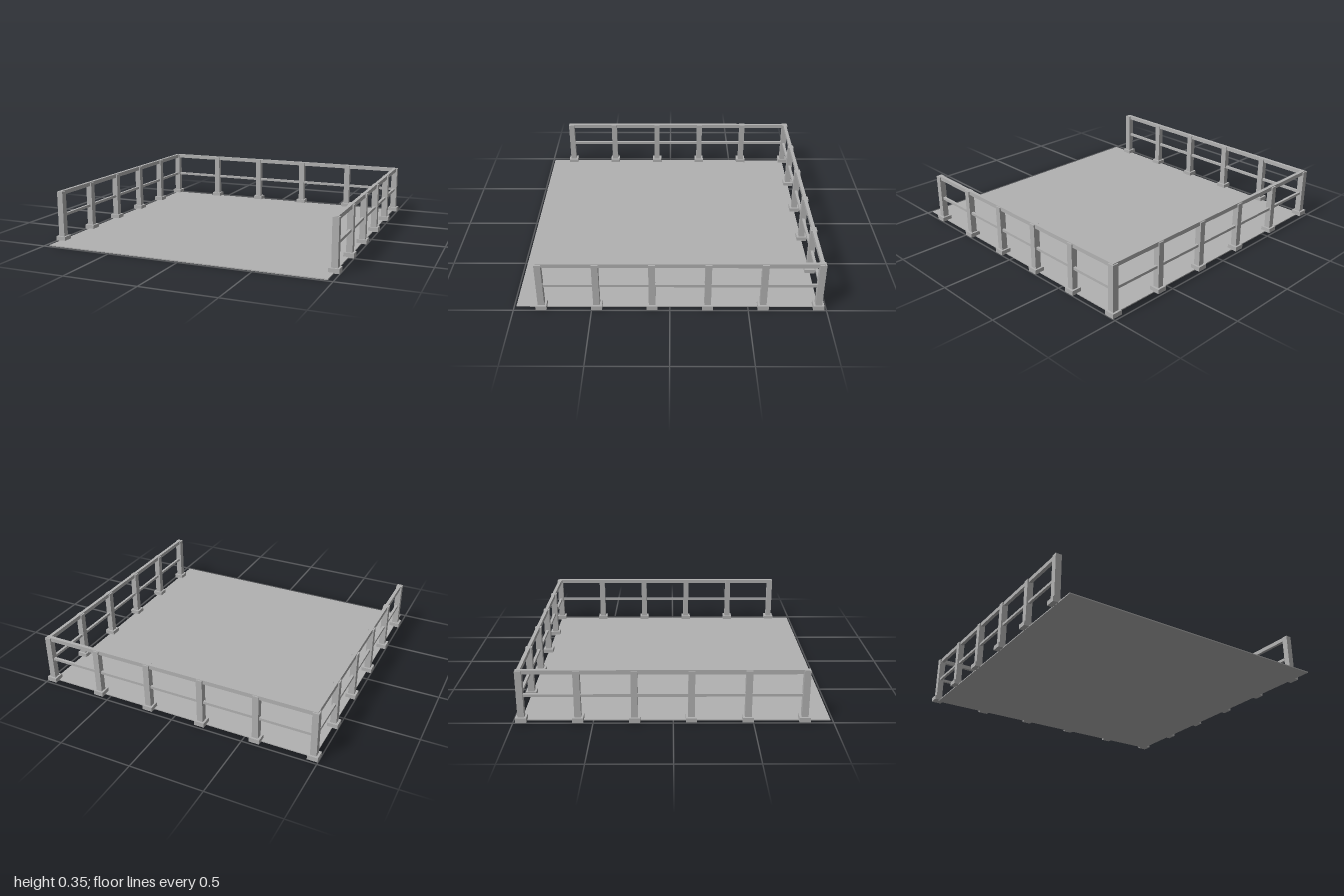
import * as THREE from 'three';

export function createModel() {
  const model = new THREE.Group();
  const grey = new THREE.MeshStandardMaterial({ color: 0xb2b2b2 });
  grey.name = 'concrete grey';

  // Box given by its centre in x and z and its bottom height
  function box(parent, name, w, h, d, x, bottom, z) {
    const mesh = new THREE.Mesh(new THREE.BoxGeometry(w, h, d), grey);
    mesh.name = name;
    mesh.position.set(x, bottom + h / 2, z);
    parent.add(mesh);
  }

  const sideX = 0.965, backZ = -0.95, frontZ = 0.822;
  const sideLength = frontZ - backZ, sideMid = (frontZ + backZ) / 2;

  // Floor slab, running past the front posts
  box(model, 'floor', 2 * sideX, 0.007, 0.985 - backZ, 0, 0, (0.985 + backZ) / 2);

  // Posts on square feet
  function addPost(x, z) {
    const post = new THREE.Group();
    post.name = 'post';
    post.position.set(x, 0, z);
    box(post, 'foot', 0.07, 0.031, 0.07, 0, 0.002, 0);
    box(post, 'upright', 0.042, 0.312, 0.042, 0, 0.032, 0);
    model.add(post);
  }
  for (let i = 0; i < 6; i++) {
    const t = i / 5;
    for (const s of [-1, 1]) addPost(s * sideX, backZ + t * sideLength);
    if (i > 0 && i < 5) addPost(-sideX + t * 2 * sideX, backZ);
  }

  // Top and middle rails along the back and both sides
  const rails = [
    { name: 'topRail', size: 0.023, height: 0.028, bottom: 0.32, over: 0.023 },
    { name: 'middleRail', size: 0.018, height: 0.018, bottom: 0.168, over: 0 },
  ];
  for (const r of rails) {
    box(model, r.name + 'Back', 2 * sideX + r.over, r.height, r.size, 0, r.bottom, backZ);
    for (const s of [-1, 1]) {
      box(model, r.name + (s > 0 ? 'Left' : 'Right'), r.size, r.height,
        sideLength + r.over, s * sideX, r.bottom, sideMid);
    }
  }
  return model;
}
